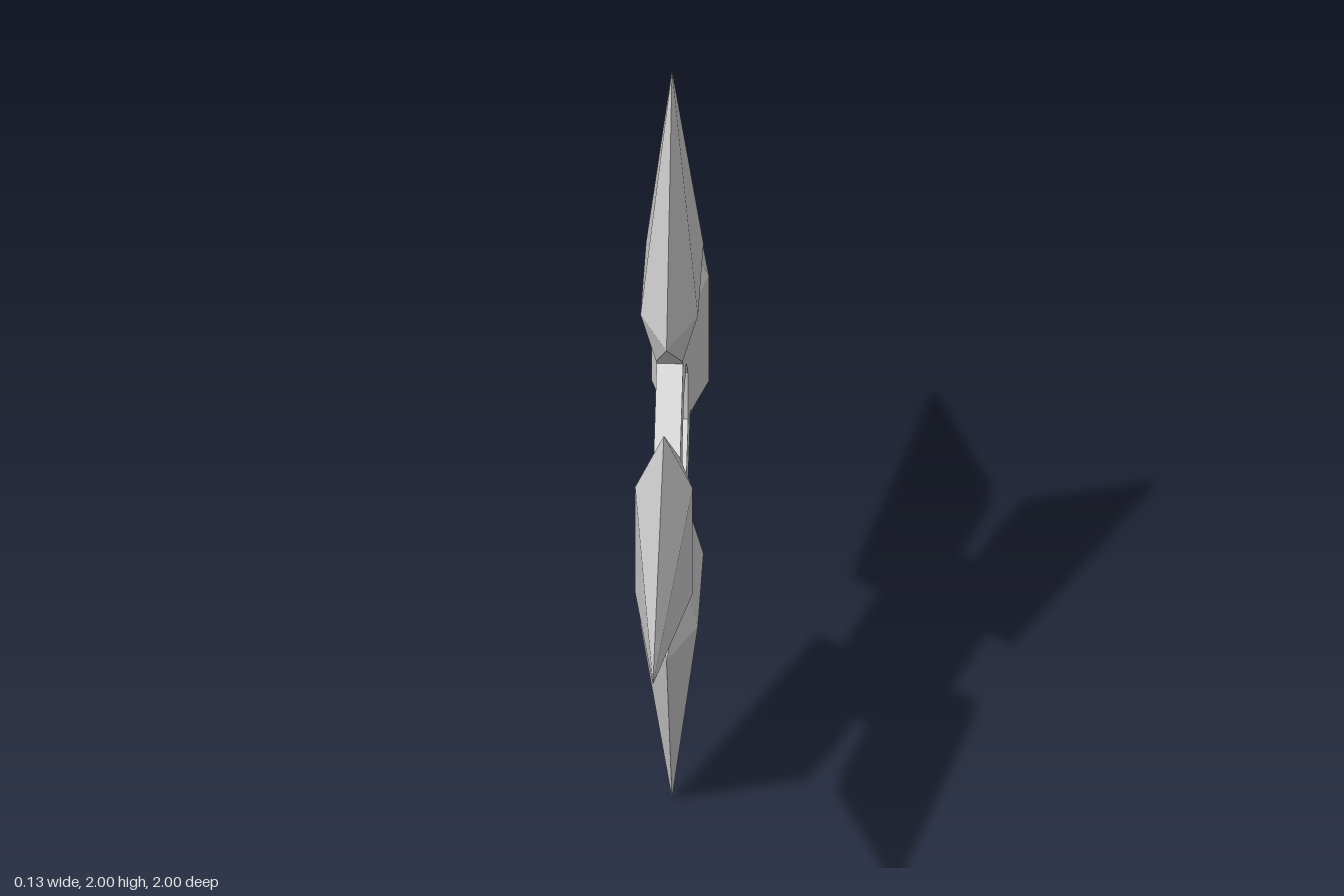
import * as THREE from 'three';

const HUB = 0.27;    // centre to each flat of the octagonal hub
const HALF = 0.03;   // half thickness of the hub
const RECESS = 0.154; // centre to each flat of the recess

const material = new THREE.MeshStandardMaterial({ color: 0xcccccc, flatShading: true });

// Corners of an octagon with flats facing the axes
function octagon(apothem) {
  const r = apothem / Math.cos(Math.PI / 8);
  return Array.from({ length: 8 }, (_, i) => {
    const a = (i + 0.5) * Math.PI / 4;
    return new THREE.Vector2(r * Math.cos(a), r * Math.sin(a));
  });
}

// Octagonal plate spanning x0 to x0 + HALF
function plate(name, shape, x0) {
  const geometry = new THREE.ExtrudeGeometry(shape, { depth: HALF, bevelEnabled: false });
  geometry.rotateY(Math.PI / 2).translate(x0, 0, 0);
  const mesh = new THREE.Mesh(geometry, material);
  mesh.name = name;
  return mesh;
}

// Blade pointing up: six-sided sections joined in loops
function bladeGeometry() {
  // distance from centre, half width, half width of flat face, half thickness
  const sections = [
    [HUB, 0.112, 0.112, HALF],
    [0.295, 0.14, 0.14, HALF],
    [0.425, 0.287, 0.145, 0.065],
    [1, 0, 0, 0],
  ];
  const rings = sections.map(([y, w, f, h]) => [
    [0, y, w], [h, y, f], [h, y, -f], [0, y, -w], [-h, y, -f], [-h, y, f],
  ]);
  const positions = [];
  for (let s = 0; s < rings.length - 1; s++) {
    for (let i = 0; i < 6; i++) {
      const j = (i + 1) % 6;
      const a = rings[s][i], b = rings[s][j];
      const c = rings[s + 1][j], d = rings[s + 1][i];
      // At the tip one triangle is enough; elsewhere creases run to the side edges
      if (s === rings.length - 2) positions.push(...a, ...b, ...d);
      else if (i % 3 === 0) positions.push(...a, ...b, ...d, ...b, ...c, ...d);
      else positions.push(...a, ...b, ...c, ...a, ...c, ...d);
    }
  }
  const geometry = new THREE.BufferGeometry();
  geometry.setAttribute('position', new THREE.Float32BufferAttribute(positions, 3));
  geometry.computeVertexNormals();
  return geometry;
}

export function createModel() {
  const model = new THREE.Group();
  model.name = 'throwingStar';

  // Hub: solid back plate and a rim around the octagonal recess on +x
  const rim = new THREE.Shape(octagon(HUB));
  rim.holes.push(new THREE.Path(octagon(RECESS).reverse()));
  model.add(plate('hubBack', new THREE.Shape(octagon(HUB)), -HALF));
  model.add(plate('hubRim', rim, 0));

  // Four blades around the hub
  const geometry = bladeGeometry();
  ['topBlade', 'frontBlade', 'bottomBlade', 'backBlade'].forEach((name, i) => {
    const blade = new THREE.Mesh(geometry, material);
    blade.name = name;
    blade.rotation.x = i * Math.PI / 2;
    model.add(blade);
  });

  model.children.forEach((part) => { part.position.y = 1; });
  return model;
}
